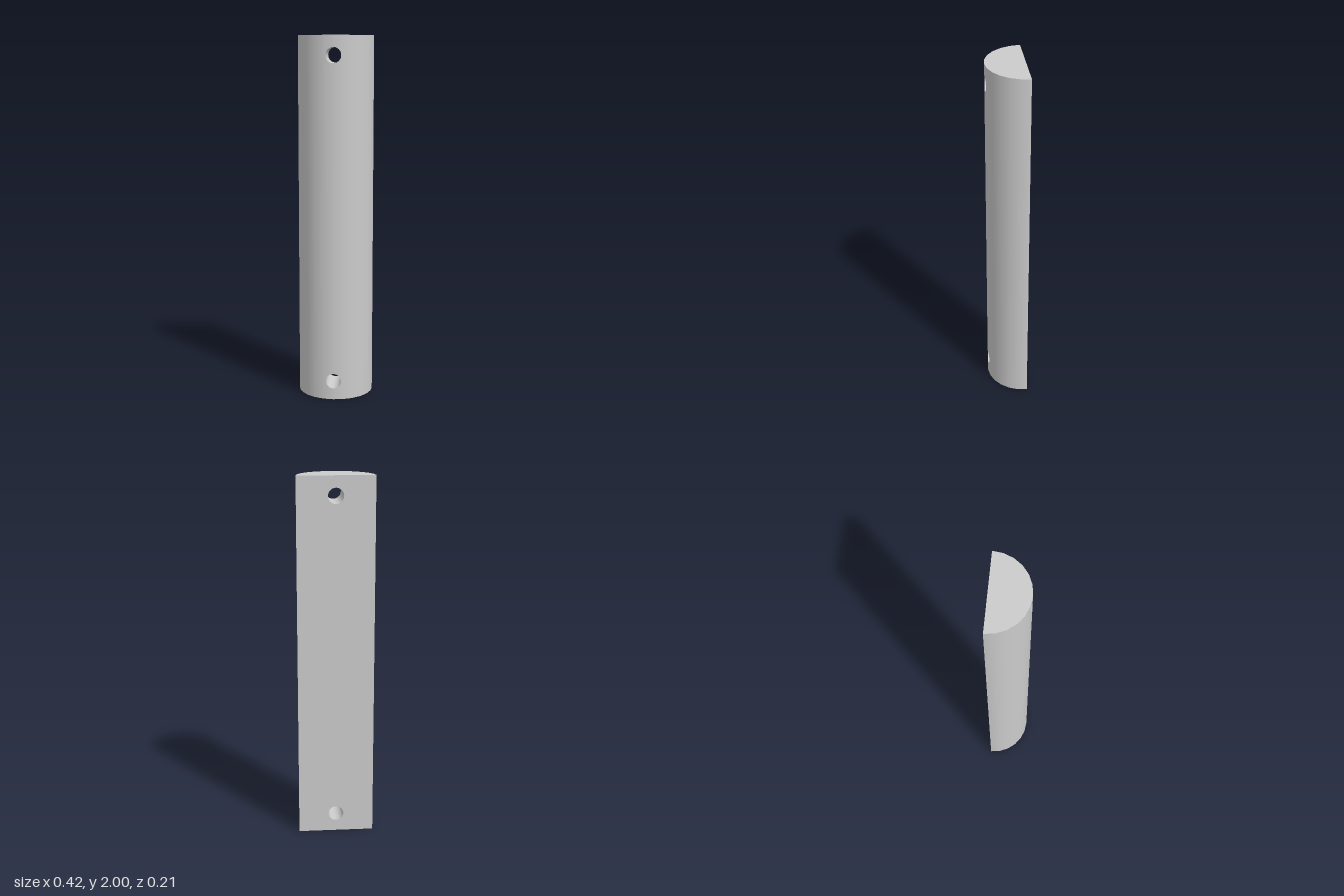
import * as THREE from 'three';

const R = 0.208;             // radius of the rounded front
const H = 2;                 // bar height
const BACK = -R / 2;         // z of the flat back
const STEP = Math.PI / 12;   // angle of one facet of the rounded front
const HOLE_R = 0.042;
const HOLES = [H - 0.105, 0.105];

// z of the two faceted strips next to the centre line, where the holes break through
const W = R * Math.sin(STEP);
const frontZ = (x) => BACK + R - (Math.abs(x) / W) * R * (1 - Math.cos(STEP));

export function createModel() {
  const group = new THREE.Group();
  group.name = 'halfRoundBar';
  const material = new THREE.MeshStandardMaterial({ color: 0xcccccc });
  const add = (name, geometry) => {
    const mesh = new THREE.Mesh(geometry, material);
    mesh.name = name;
    group.add(mesh);
  };

  // Central front strips: half-circle notches on the centre line form the holes
  const strip = new THREE.Shape();
  strip.moveTo(0, 0).lineTo(W, 0).lineTo(W, H).lineTo(0, H);
  for (const y of HOLES) strip.absarc(0, y, HOLE_R, Math.PI / 2, -Math.PI / 2, true);
  const outline = strip.getPoints(6);

  for (const side of [1, -1]) {
    const label = side > 0 ? 'Left' : 'Right';
    const points = outline.map((p) => new THREE.Vector2(side * p.x, p.y));
    const centre = new THREE.ShapeGeometry(new THREE.Shape(points));
    const { position, normal } = centre.attributes;
    for (let i = 0; i < position.count; i++) {
      const x = position.getX(i);
      position.setZ(i, frontZ(x));
      const n = new THREE.Vector3(x, 0, frontZ(x) - BACK).normalize();
      normal.setXYZ(i, n.x, n.y, n.z);
    }
    add('frontStrip' + label, centre);

    // Plain curved flank
    const start = side > 0 ? STEP : -Math.PI / 2;
    const flank = new THREE.CylinderGeometry(R, R, H, 5, 1, true, start, 5 * STEP);
    add('curvedFlank' + label, flank.translate(0, H / 2, BACK));
  }

  // Flat back with two holes
  const back = new THREE.Shape();
  back.moveTo(-R, 0).lineTo(R, 0).lineTo(R, H).lineTo(-R, H).closePath();
  for (const y of HOLES) back.holes.push(new THREE.Path().absarc(0, y, HOLE_R, 0, Math.PI * 2, true));
  add('flatBack', new THREE.ShapeGeometry(back, 12).rotateY(Math.PI).translate(0, 0, BACK));

  // Half-disc ends
  add('topEnd', new THREE.CircleGeometry(R, 12, Math.PI, Math.PI).rotateX(-Math.PI / 2).translate(0, H, BACK));
  add('bottomEnd', new THREE.CircleGeometry(R, 12, 0, Math.PI).rotateX(Math.PI / 2).translate(0, 0, BACK));

  // Hole walls, mirrored so they face inward and trimmed to the curved front
  HOLES.forEach((y, k) => {
    const wall = new THREE.CylinderGeometry(HOLE_R, HOLE_R, 1, 24, 1, true).rotateX(Math.PI / 2).scale(-1, 1, 1);
    const { position, normal } = wall.attributes;
    for (let i = 0; i < position.count; i++) {
      position.setZ(i, position.getZ(i) > 0 ? frontZ(position.getX(i)) : BACK);
      normal.setXYZ(i, -normal.getX(i), -normal.getY(i), 0);
    }
    add(k ? 'bottomHole' : 'topHole', wall.translate(0, y, 0));
  });

  return group;
}
